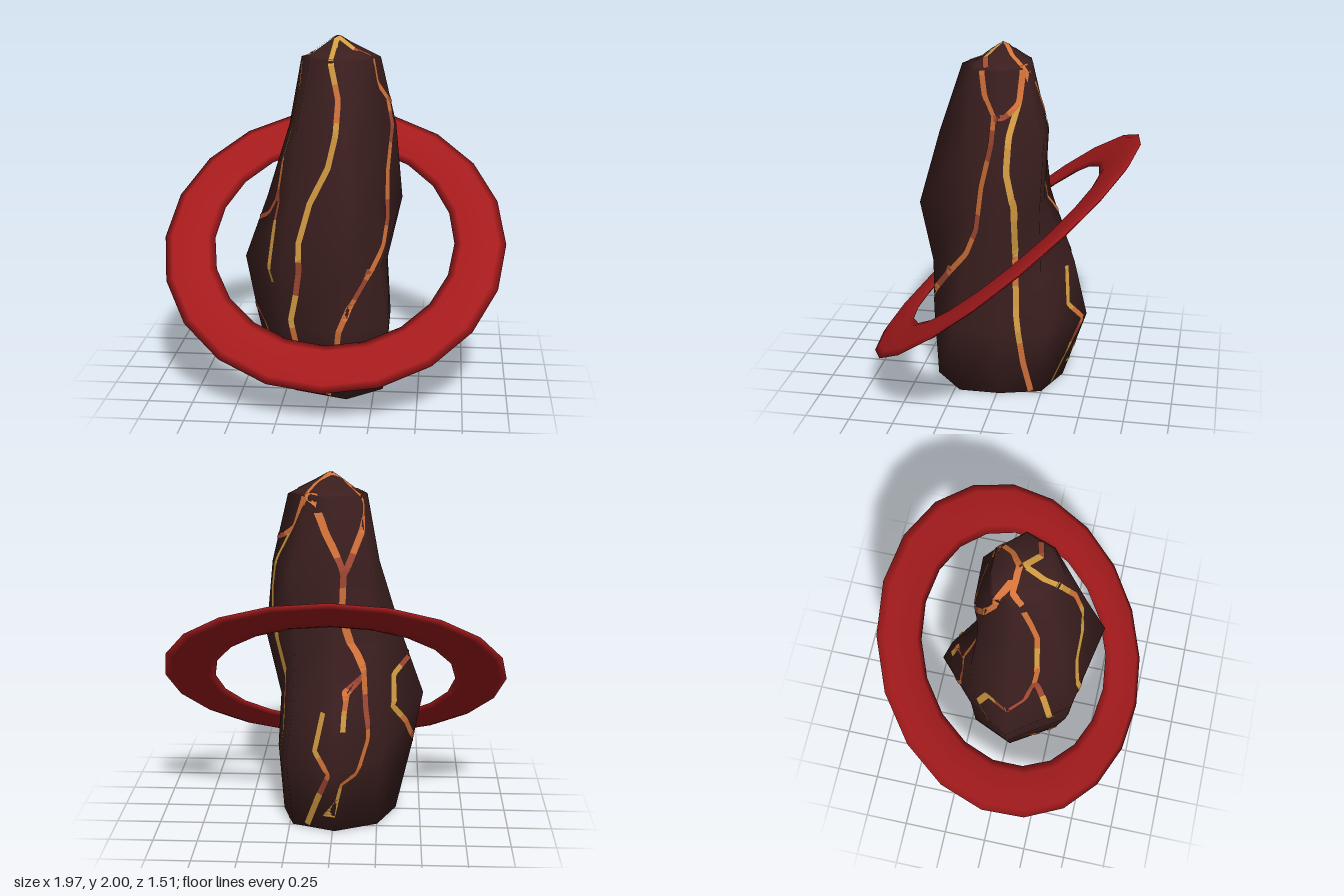
import * as THREE from 'three';

const mat = (name, color, side = THREE.FrontSide) => {
  const m = new THREE.MeshStandardMaterial({ color, side });
  m.name = name;
  return m;
};

// Cross-sections of the stone: height, then radius in each of eight directions
const ANGLES = [-3, 36, 75, 125, 177, 222, 268, 313].map(THREE.MathUtils.degToRad);
const ROWS = [
  [0, 0.30, 0.37, 0.40, 0.34, 0.36, 0.34, 0.34, 0.34],
  [0.40, 0.33, 0.41, 0.42, 0.42, 0.45, 0.36, 0.475, 0.39],
  [0.72, 0.31, 0.35, 0.42, 0.45, 0.51, 0.36, 0.40, 0.33],
  [1.08, 0.39, 0.31, 0.49, 0.37, 0.38, 0.33, 0.22, 0.31],
  [1.50, 0.35, 0.29, 0.37, 0.32, 0.25, 0.27, 0.24, 0.34],
  [1.88, 0.26, 0.25, 0.24, 0.21, 0.18, 0.18, 0.15, 0.20],
  [1.89, 0.24, 0.23, 0.17, 0.15, 0.13, 0.16, 0.14, 0.19],
];

function stoneGeometry() {
  const n = ANGLES.length, pos = [], idx = [];
  ROWS.forEach(([y, ...radii]) =>
    radii.forEach((r, j) => pos.push(r * Math.cos(ANGLES[j]), y, r * Math.sin(ANGLES[j]))));
  const apex = ROWS.length * n;
  pos.push(0.02, 2, 0.01, 0, 0, 0);
  for (let j = 0; j < n; j++) {
    const k = (j + 1) % n;
    for (let i = 0; i < ROWS.length - 1; i++) {
      const a = i * n + j, b = i * n + k;
      idx.push(a, a + n, b, b, a + n, b + n);
    }
    idx.push(apex - n + j, apex, apex - n + k);
    idx.push(apex + 1, j, k);
  }
  const g = new THREE.BufferGeometry();
  g.setAttribute('position', new THREE.Float32BufferAttribute(pos, 3));
  g.setIndex(idx);
  g.computeVertexNormals();
  return g;
}

// Crack paths drawn in a plane and projected onto the stone from one side.
// Each side gives its right, up and outward axes; each path its tints
// (g gold, o orange, r rust) spread along the length, then its points.
const S = Math.SQRT1_2;
const SIDES = {
  front: {
    axes: [[1, 0, 0], [0, 1, 0], [0, 0, 1]],
    paths: [
      ['goggggrgoo', [0.02, 1.98], [0, 1.88], [0.05, 1.68], [0.04, 1.5], [0, 1.32], [-0.1, 1.12], [-0.16, 0.9],
        [-0.16, 0.75], [-0.18, 0.6], [-0.21, 0.45], [-0.18, 0.3], [-0.16, 0.2], [-0.17, 0.01]],
      ['roogg', [0.22, 0.74], [0.2, 0.68], [0.12, 0.55], [0.06, 0.4], [0.04, 0.2], [0, 0.01]],
      ['ro', [-0.24, 0.17], [-0.21, 0.01]],
    ],
  },
  right: {
    axes: [[0, 0, -1], [0, 1, 0], [1, 0, 0]],
    paths: [
      ['oorooroo', [-0.09, 1.88], [-0.07, 1.75], [-0.01, 1.65], [-0.02, 1.5], [-0.08, 1.25], [-0.11, 1],
        [-0.17, 0.85], [-0.3, 0.68]],
      ['ro', [-0.01, 1.64], [0.05, 1.65], [0.11, 1.71]],
      ['ogggggoggoo', [0.12, 1.88], [0.11, 1.72], [0.07, 1.55], [0.06, 1.35], [0.1, 1.15], [0.1, 0.85],
        [0.11, 0.5], [0.15, 0.2], [0.19, 0.01]],
    ],
  },
  left: {
    axes: [[0, 0, 1], [0, 1, 0], [-1, 0, 0]],
    paths: [
      ['oogorgg', [0.06, 1.86], [0.14, 1.6], [0.16, 1.28], [0.15, 1.15], [0.21, 0.95], [0.27, 0.64]],
      ['rrggoroo', [0.15, 1.15], [0.11, 1], [-0.11, 0.87], [-0.17, 0.7], [-0.01, 0.48], [0.1, 0.36],
        [0.15, 0.2], [0.18, 0.02]],
    ],
  },
  backRight: {
    axes: [[-S, 0, -S], [0, 1, 0], [S, 0, -S]],
    paths: [
      ['ggorgg', [0.22, 0.72], [0.2, 0.5], [0.31, 0.39], [0.2, 0.2], [0.1, 0.02]],
    ],
  },
  backLeft: {
    axes: [[-S, 0, S], [0, 1, 0], [-S, 0, -S]],
    paths: [
      ['oor', [-0.18, 1.8], [-0.17, 1.7], [-0.12, 1.47]],
      ['ooroooroog', [0.02, 1.95], [0.05, 1.84], [0, 1.7], [-0.12, 1.47], [-0.12, 1.28], [-0.08, 1.03],
        [-0.08, 0.55], [-0.16, 0.36], [-0.26, 0.32], [-0.27, 0.1]],
      ['rog', [-0.08, 0.92], [-0.19, 0.83], [-0.24, 0.62]],
    ],
  },
  top: {
    axes: [[1, 0, 0], [0, 0, -1], [0, 1, 0]],
    paths: [
      ['oo', [0.02, 0], [0.1, 0.05], [0.16, 0.13]],
      ['oro', [0.16, 0.13], [0, 0.17], [-0.08, 0.13]],
      ['oo', [0.02, 0], [-0.1, 0.01], [-0.15, -0.05]],
      ['gr', [0.02, -0.02], [0.12, -0.09], [0.21, -0.07]],
    ],
  },
  base: {
    axes: [[-S, 0, -S], [S, 0, -S], [0, -1, 0]],
    paths: [
      ['oog', [-0.08, 0.31], [-0.05, -0.28]],
      ['goo', [0.1, 0.29], [0.03, -0.28]],
      ['go', [-0.28, 0], [-0.22, -0.22]],
      ['oo', [0.26, 0.08], [0.22, -0.2]],
    ],
  },
};

function crackGeometries(stone) {
  const lists = { g: [], o: [], r: [] };
  const caster = new THREE.Raycaster();
  const half = 0.016;
  Object.values(SIDES).forEach(({ axes, paths }) => {
    const [right, up, out] = axes.map((a) => new THREE.Vector3(...a));
    const project = (x, y) => {
      const from = out.clone().multiplyScalar(4).addScaledVector(right, x).addScaledVector(up, y);
      caster.set(from, out.clone().negate());
      const hit = caster.intersectObject(stone)[0];
      return hit && hit.point.addScaledVector(hit.face.normal, out.y < 0 ? 0.002 : 0.006);
    };
    paths.forEach(([tints, ...path]) => {
      // resample evenly so the ribbon hugs the facets
      const curve = new THREE.CurvePath();
      for (let i = 1; i < path.length; i++) {
        curve.add(new THREE.LineCurve(new THREE.Vector2(...path[i - 1]), new THREE.Vector2(...path[i])));
      }
      const steps = Math.max(4, Math.ceil(curve.getLength() / 0.025));
      let last = null;
      for (let i = 0; i <= steps; i++) {
        const p = curve.getPointAt(i / steps);
        const t = curve.getPointAt(Math.min(1, (i + 1) / steps))
          .sub(curve.getPointAt(Math.max(0, (i - 1) / steps))).normalize();
        const l = project(p.x - t.y * half, p.y + t.x * half);
        const r = project(p.x + t.y * half, p.y - t.x * half);
        // drop samples that slide past the stone's outline
        const now = l && r && l.distanceTo(r) < 0.09 ? { l, r } : null;
        if (last && now && last.l.distanceTo(now.l) < 0.1 && last.r.distanceTo(now.r) < 0.1) {
          const tint = tints[Math.floor(((i - 1) / steps) * tints.length)];
          [last.r, now.r, last.l, last.l, now.r, now.l].forEach((v) => lists[tint].push(v.x, v.y, v.z));
        }
        last = now;
      }
    });
  });
  return Object.values(lists).map((list) => {
    const g = new THREE.BufferGeometry();
    g.setAttribute('position', new THREE.Float32BufferAttribute(list, 3));
    g.computeVertexNormals();
    return g;
  });
}

export function createModel() {
  const model = new THREE.Group();
  model.name = 'ringedStone';

  const stone = new THREE.Mesh(stoneGeometry(), mat('darkStone', 0x3c1f1f));
  stone.name = 'stone';
  model.add(stone);

  // Glowing cracks as thin ribbons in three tints
  const tints = [['goldCracks', 0xd49c42], ['orangeCracks', 0xd4733a], ['rustCracks', 0xa34a34]];
  crackGeometries(stone).forEach((g, i) => {
    const [name, color] = tints[i];
    const cracks = new THREE.Mesh(g, mat(name, color, THREE.DoubleSide));
    cracks.name = name;
    model.add(cracks);
  });

  // Tilted flat ring, low at the front
  const ring = new THREE.Mesh(new THREE.TorusGeometry(0.838, 0.147, 8, 20), mat('ringRed', 0xa31a1c));
  ring.name = 'ring';
  ring.scale.z = 0.14;
  ring.rotation.x = THREE.MathUtils.degToRad(-50);
  ring.position.y = 0.815;
  model.add(ring);

  return model;
}
